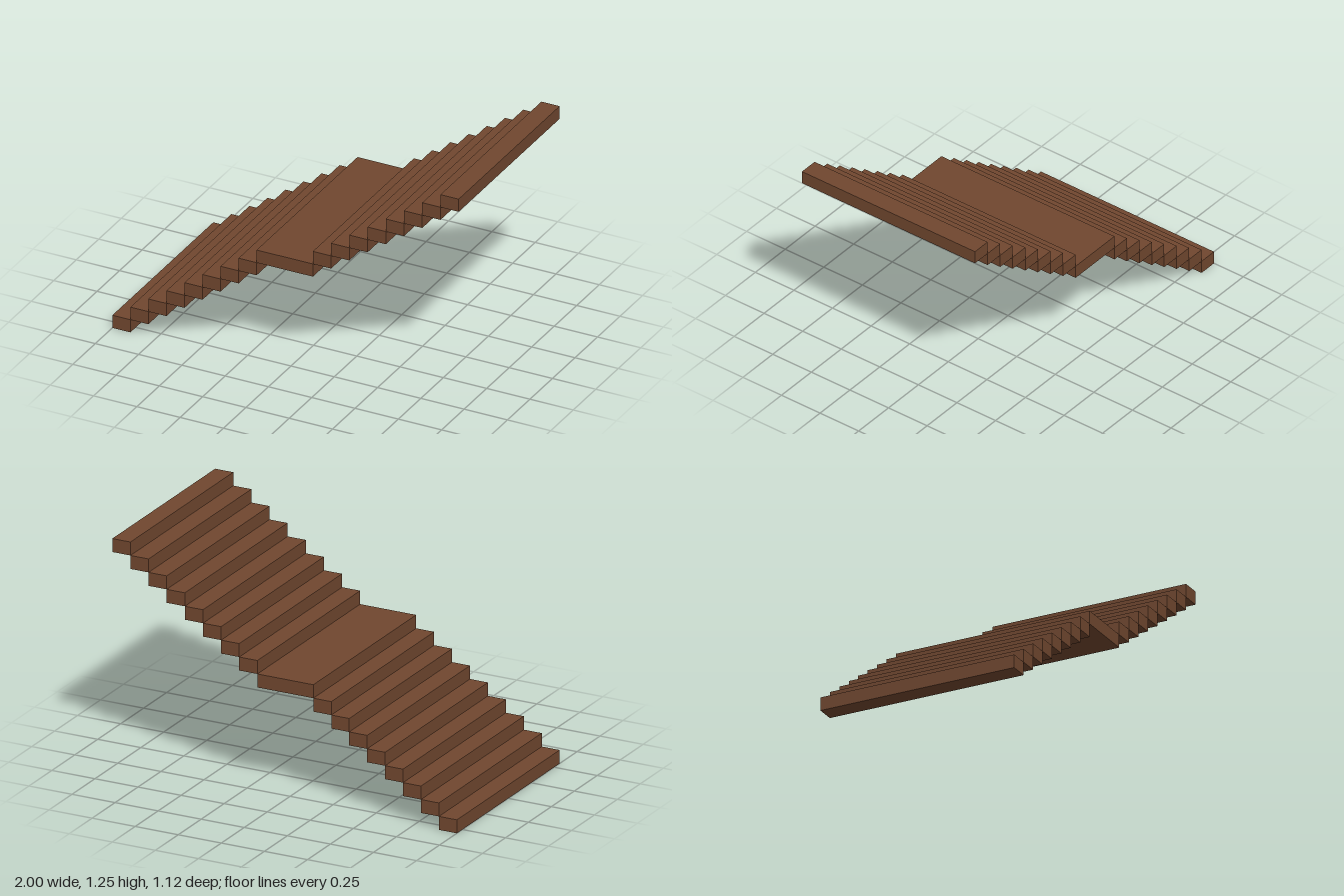
import * as THREE from 'three';

const RISE = 1.255 / 17;   // thickness of every tread, also the climb per step
const DEPTH = 1.121;       // width of the flight along z
const STEPS = 8;           // treads in each flight
const LANDING_START = -0.167;
const LANDING_END = 0.158;

export function createModel() {
  const staircase = new THREE.Group();
  staircase.name = 'staircase';
  const wood = new THREE.MeshStandardMaterial({ color: 0x70472f });

  // One solid slab from x0 to x1 at the given level
  function addSlab(parent, name, x0, x1, level) {
    const slab = new THREE.Mesh(new THREE.BoxGeometry(x1 - x0, RISE, DEPTH), wood);
    slab.name = name;
    slab.position.set((x0 + x1) / 2, (level + 0.5) * RISE, 0);
    parent.add(slab);
  }

  // A run of equal treads rising toward +x
  function addFlight(name, x0, x1, firstLevel) {
    const flight = new THREE.Group();
    flight.name = name;
    const going = (x1 - x0) / STEPS;
    for (let i = 0; i < STEPS; i++) {
      addSlab(flight, `tread${i + 1}`, x0 + i * going, x0 + (i + 1) * going, firstLevel + i);
    }
    staircase.add(flight);
  }

  addFlight('lowerFlight', -1, LANDING_START, 0);
  addSlab(staircase, 'landing', LANDING_START, LANDING_END, STEPS);
  addFlight('upperFlight', LANDING_END, 1, STEPS + 1);

  return staircase;
}
